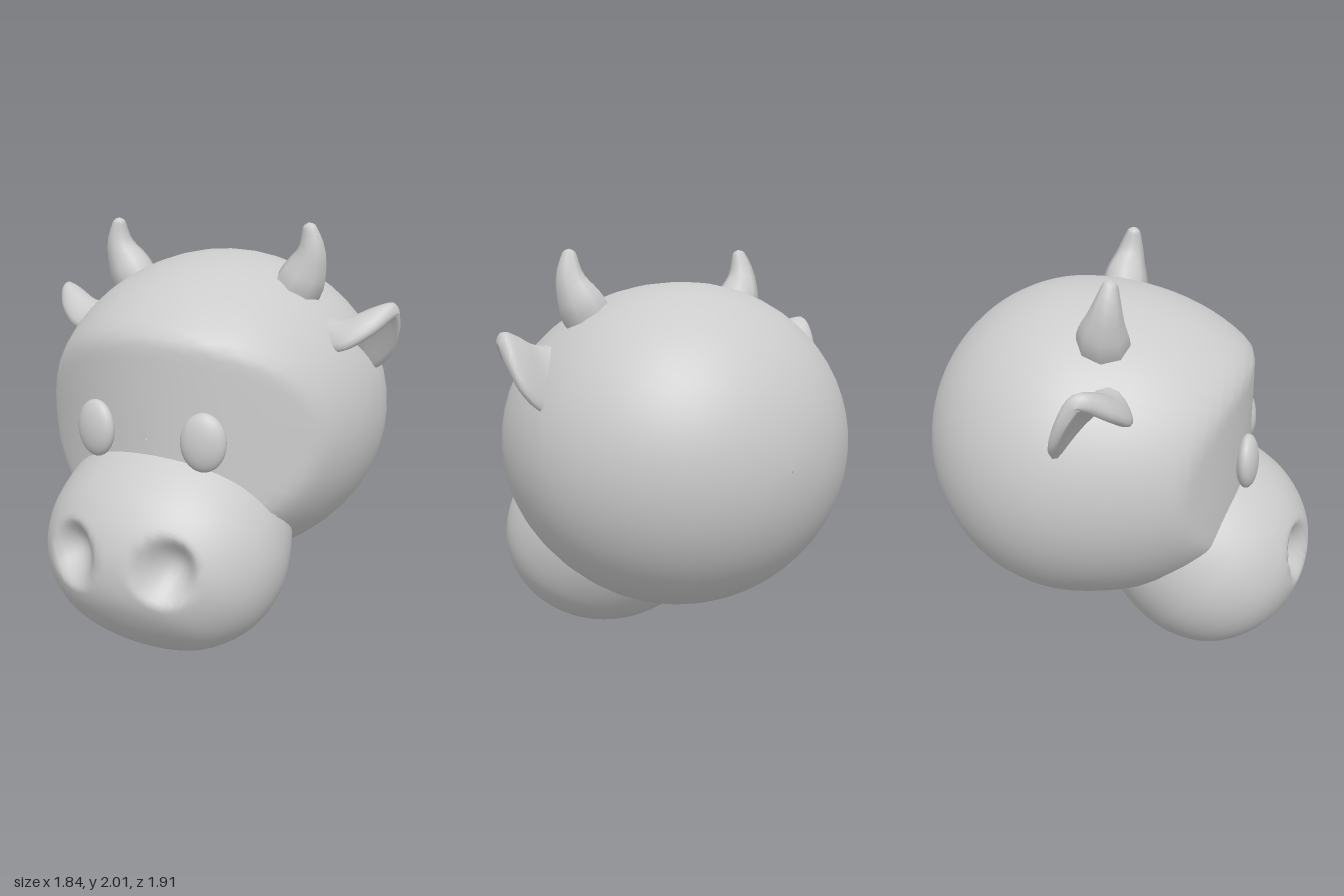
import * as THREE from 'three';

const V = (x, y, z) => new THREE.Vector3(x, y, z);
const material = new THREE.MeshStandardMaterial({ color: 0xcccccc, roughness: 0.8 });

// Skin a list of closed rings (arrays of Vector3); faces are turned outward by signed volume.
function loft(rings) {
  const n = rings[0].length, pts = rings.flat(), index = [];
  for (let i = 0; i < rings.length - 1; i++) {
    for (let j = 0; j < n; j++) {
      const a = i * n + j, b = i * n + (j + 1) % n;
      index.push(a, b, b + n, a, b + n, a + n);
    }
  }
  let volume = 0;
  const c = V(0, 0, 0);
  for (let i = 0; i < index.length; i += 3) {
    volume += pts[index[i]].dot(c.crossVectors(pts[index[i + 1]], pts[index[i + 2]]));
  }
  if (volume < 0) index.reverse();
  const geo = new THREE.BufferGeometry().setFromPoints(pts);
  geo.setIndex(index);
  geo.computeVertexNormals();
  return geo;
}

const steps = (n, f) => Array.from({ length: n + 1 }, (_, i) => f(i / n));
const ring = (n, f) => Array.from({ length: n }, (_, j) => f((j / n) * Math.PI * 2));

// Skull: an egg with a longer front half, flattened into a gently curved face.
function headGeometry() {
  return loft(steps(44, (t) => {
    const p = 0.004 + t * (Math.PI - 0.008);
    return ring(48, (a) => {
      const x = 0.835 * Math.sin(p) * Math.cos(a);
      const y = 1.075 + 0.775 * Math.sin(p) * Math.sin(a);
      const k = -Math.cos(p);
      const z = -0.2 + k * (k < 0 ? 0.755 : 1.02);
      const face = 0.625 - 0.6 * x * x;
      const soft = 0.02;
      // soft minimum rounds the brow
      return V(x, y, (z + face - Math.sqrt((z - face) ** 2 + soft * soft)) / 2);
    });
  }));
}

// Muzzle: a dome along a forward and downward axis, with two dented nostrils.
function muzzleGeometry() {
  const profile = new THREE.SplineCurve([
    [-0.25, 0.4], [0, 0.485], [0.2, 0.515], [0.35, 0.5], [0.48, 0.45],
    [0.58, 0.37], [0.65, 0.27], [0.69, 0.13], [0.7, 0.002],
  ].map(([a, r]) => new THREE.Vector2(a, r)));
  return loft(steps(52, (t) => {
    const { x: along, y: r } = profile.getPoint(t);
    return ring(80, (a) => {
      const up = r * Math.cos(a) + 0.015;
      const v = V(r * 1.15 * Math.sin(a), 0.65 - 0.69 * along + 0.72 * up, 0.27 + 0.72 * along + 0.69 * up);
      const d = Math.hypot(Math.abs(v.x) - 0.23, (v.y - 0.58) * 0.9) / 0.145;
      if (v.z > 0.6 && d < 1) v.z -= 0.13 * (1 - d * d) ** 1.5;
      return v;
    });
  }));
}

// Horn: an eight-sided tapering curve ending in a rounded tip.
function hornGeometry() {
  const path = new THREE.CatmullRomCurve3([
    V(0.42, 1.66, -0.05), V(0.475, 1.76, -0.045), V(0.515, 1.87, -0.025), V(0.505, 2.0, -0.005),
  ]);
  const radius = new THREE.SplineCurve([[0, 0.118], [0.3, 0.114], [0.6, 0.078], [0.9, 0.04], [0.97, 0.026], [1, 0.001]]
    .map(([t, r]) => new THREE.Vector2(t, r)));
  return loft(steps(16, (s) => {
    const { x: t, y: r } = radius.getPoint(s);
    const p = path.getPoint(Math.min(t, 1)), dir = path.getTangent(Math.min(t, 1));
    const side = V(0, 0, 1).cross(dir).normalize();
    const front = dir.clone().cross(side).normalize();
    return ring(8, (a) => p.clone().addScaledVector(side, r * Math.cos(a)).addScaledVector(front, r * Math.sin(a)));
  }));
}

// Ear: a cupped leaf spanned by a front edge, a top ridge and a back edge.
function earGeometry() {
  const front = new THREE.CatmullRomCurve3([
    V(0.56, 1.44, 0.05), V(0.71, 1.44, 0.095), V(0.83, 1.51, 0.04), V(0.9, 1.58, -0.05), V(0.92, 1.6, -0.1)]);
  const ridge = new THREE.CatmullRomCurve3([
    V(0.56, 1.53, -0.02), V(0.7, 1.53, -0.05), V(0.81, 1.58, -0.08), V(0.89, 1.61, -0.1), V(0.92, 1.6, -0.1)]);
  const back = new THREE.CatmullRomCurve3([
    V(0.56, 1.36, -0.13), V(0.76, 1.3, -0.215), V(0.86, 1.38, -0.215), V(0.905, 1.49, -0.17), V(0.92, 1.6, -0.1)]);
  return loft(steps(20, (t) => {
    const f = front.getPoint(t), m = ridge.getPoint(t), b = back.getPoint(t);
    const control = m.multiplyScalar(2).addScaledVector(f, -0.5).addScaledVector(b, -0.5);
    const arch = new THREE.QuadraticBezierCurve3(f, control, b);
    const h = 0.042 * Math.sqrt(1 - t ** 4);
    return ring(28, (a) => {
      const s = (1 - Math.cos(a)) / 2;
      const tangent = t < 1 ? arch.getTangent(s) : V(0, 0, 1);
      const normal = V(1, 0, 0).cross(tangent).normalize();
      const sin = Math.sin(a);
      return arch.getPoint(s).addScaledVector(normal, h * Math.sign(sin) * Math.abs(sin) ** 0.6);
    });
  }));
}

// Eye: a flattened oval turned slightly outward.
function eyeGeometry() {
  return new THREE.SphereGeometry(1, 28, 20).scale(0.105, 0.133, 0.052)
    .rotateY(0.2).rotateX(-0.04).translate(0.275, 1.09, 0.605);
}

function mirrored(geo) {
  const copy = geo.clone();
  const pos = copy.attributes.position, nor = copy.attributes.normal;
  for (let i = 0; i < pos.count; i++) {
    pos.setX(i, -pos.getX(i));
    nor.setX(i, -nor.getX(i));
  }
  copy.setIndex(Array.from(geo.index.array).reverse());
  return copy;
}

export function createModel() {
  const model = new THREE.Group();
  model.name = 'cowHead';
  const add = (name, geo) => {
    const mesh = new THREE.Mesh(geo, material);
    mesh.name = name;
    model.add(mesh);
  };
  add('head', headGeometry());
  add('muzzle', muzzleGeometry());
  for (const [name, geo] of [['Eye', eyeGeometry()], ['Horn', hornGeometry()], ['Ear', earGeometry()]]) {
    add('left' + name, geo);
    add('right' + name, mirrored(geo));
  }
  return model;
}
